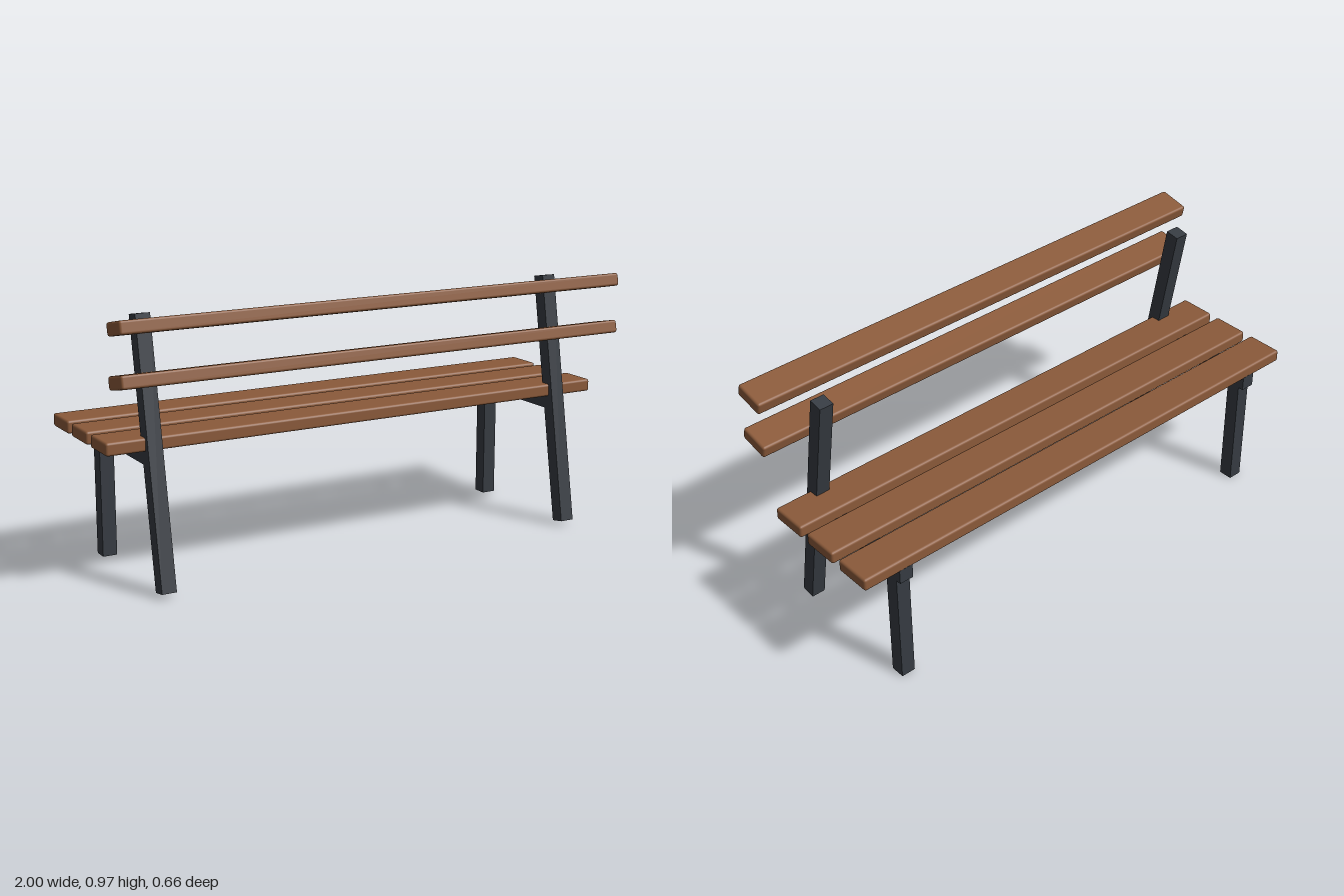
import * as THREE from 'three';
import { RoundedBoxGeometry } from 'three/addons/geometries/RoundedBoxGeometry.js';

export function createModel() {
  const bench = new THREE.Group();
  bench.name = 'bench';

  const wood = new THREE.MeshStandardMaterial({ color: 0x8b5a3a });
  wood.name = 'brown wood';
  const metal = new THREE.MeshStandardMaterial({ color: 0x363b42 });
  metal.name = 'dark metal';

  const add = (parent, name, geometry, material, x, y, z, tilt = 0) => {
    const mesh = new THREE.Mesh(geometry, material);
    mesh.name = name;
    mesh.position.set(x, y, z);
    mesh.rotation.x = THREE.MathUtils.degToRad(tilt);
    parent.add(mesh);
  };

  // Seat: three planks with softened edges
  const seatPlank = new RoundedBoxGeometry(2, 0.047, 0.142, 2, 0.009);
  [0.1, -0.078, -0.256].forEach((z, i) =>
    add(bench, `seatPlank${i + 1}`, seatPlank, wood, 0, 0.514, z));

  // Backrest: two tilted planks
  const backPlank = new RoundedBoxGeometry(2, 0.047, 0.119, 2, 0.009);
  [0.759, 0.937].forEach((y, i) =>
    add(bench, `backPlank${i + 1}`, backPlank, wood, 0, y, 0.267, -12));

  // Side frames: leaning post, upright leg and seat rail
  const bar = 0.054;
  const post = new THREE.BoxGeometry(bar, 0.945, bar);
  const leg = new THREE.BoxGeometry(bar, 0.46, bar);
  const rail = new THREE.BoxGeometry(bar, 0.055, 0.493);
  for (const [side, x] of [['left', 0.832], ['right', -0.832]]) {
    const frame = new THREE.Group();
    frame.name = `${side}Frame`;
    add(frame, 'leaningPost', post, metal, x, 0.48, 0.168, -10);
    add(frame, 'uprightLeg', leg, metal, x, 0.23, -0.279);
    add(frame, 'seatRail', rail, metal, x, 0.4695, -0.0805);
    bench.add(frame);
  }

  return bench;
}
